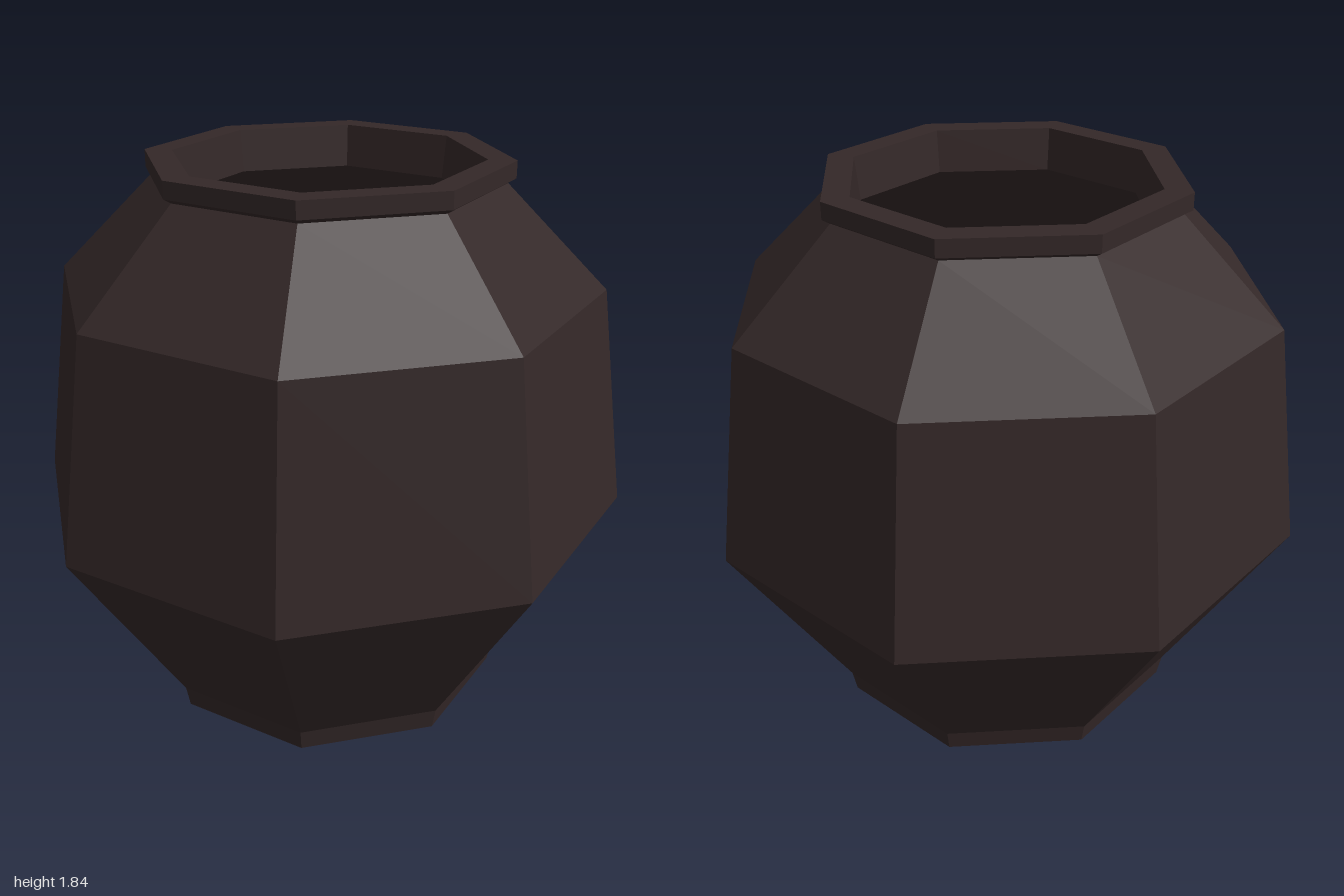
import * as THREE from 'three';

const SIDES = 8;

// Revolve a [radius, height] profile into an eight-sided, flat-shaded shell
function ring(name, profile, material) {
  const points = profile.map(([r, y]) => new THREE.Vector2(r, y));
  const mesh = new THREE.Mesh(new THREE.LatheGeometry(points, SIDES), material);
  mesh.name = name;
  return mesh;
}

export function createModel() {
  const clay = new THREE.MeshStandardMaterial({ color: 0x342828, flatShading: true });
  clay.name = 'dark clay';

  const pot = new THREE.Group();
  pot.name = 'pot';

  // Flat base, foot, belly and shoulder
  pot.add(ring('outerBody', [
    [0, 0], [0.595, 0], [0.61, 0.075], [1, 0.705], [0.895, 1.44], [0.565, 1.77],
  ], clay));

  // Lip overhanging the shoulder, with a slightly tapered mouth
  pot.add(ring('rim', [
    [0.565, 1.77], [0.59, 1.785], [0.59, 1.84], [0.5, 1.84], [0.485, 1.7],
  ], clay));

  // Hollow inside, from the neck down to the floor
  pot.add(ring('innerWall', [
    [0.485, 1.7], [0.82, 1.34], [0.92, 0.71], [0.54, 0.1], [0, 0.08],
  ], clay));

  return pot;
}
